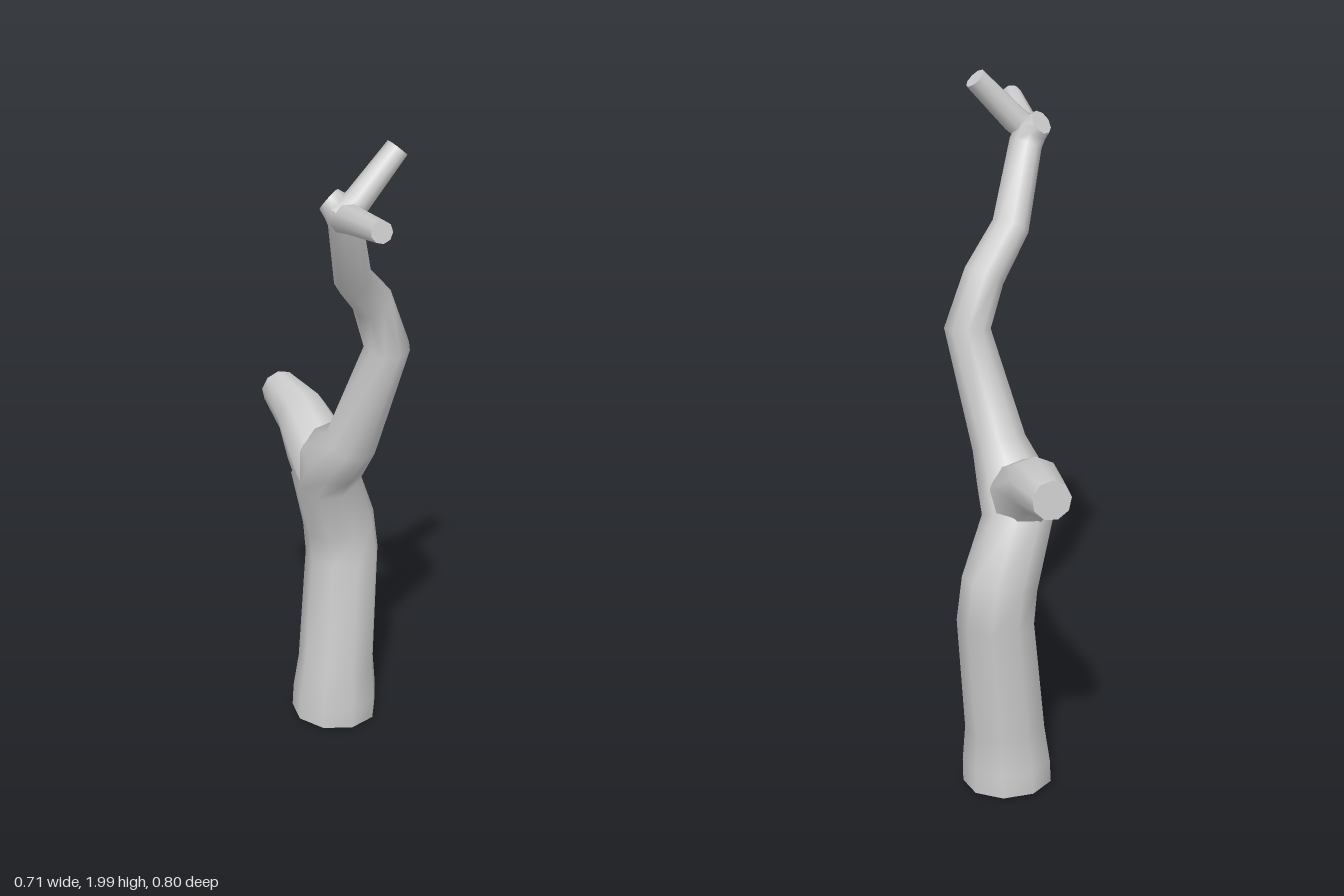
import * as THREE from 'three';

const SIDES = 9;

// Skins a limb through sections [x, y, z, radius], with flat caps at both ends
function limb(name, sections) {
  const pts = sections.map(s => new THREE.Vector3(s[0], s[1], s[2]));
  const dir = i => pts[i + 1].clone().sub(pts[i]).normalize();
  const last = pts.length - 1;
  const pos = [], index = [];
  const u = new THREE.Vector3(1, 0, 0), prev = new THREE.Vector3(0, 1, 0);
  const turn = new THREE.Quaternion();
  const rings = pts.map((p, i) => {
    // each ring lies on the bisecting plane of its bend
    const t = i === 0 ? dir(0) : i === last ? dir(last - 1) : dir(i - 1).add(dir(i)).normalize();
    u.applyQuaternion(turn.setFromUnitVectors(prev, t));
    prev.copy(t);
    const v = new THREE.Vector3().crossVectors(t, u);
    return Array.from({ length: SIDES }, (_, j) => {
      const a = j / SIDES * Math.PI * 2, r = sections[i][3] * 1.02;
      return p.clone().addScaledVector(u, Math.cos(a) * r).addScaledVector(v, Math.sin(a) * r);
    });
  });
  rings.forEach(ring => ring.forEach(p => pos.push(p.x, p.y, p.z)));
  for (let i = 0; i < last; i++) {
    for (let j = 0; j < SIDES; j++) {
      const k = (j + 1) % SIDES;
      const a = i * SIDES + j, b = i * SIDES + k;
      index.push(a, b, b + SIDES, a, b + SIDES, a + SIDES);
    }
  }
  // caps own their vertices so the cut edges stay sharp
  for (const [ring, flip] of [[rings[0], true], [rings[last], false]]) {
    const start = pos.length / 3;
    ring.forEach(p => pos.push(p.x, p.y, p.z));
    for (let j = 1; j < SIDES - 1; j++) {
      if (flip) index.push(start, start + j + 1, start + j);
      else index.push(start, start + j, start + j + 1);
    }
  }
  const geo = new THREE.BufferGeometry();
  geo.setAttribute('position', new THREE.Float32BufferAttribute(pos, 3));
  geo.setIndex(index);
  geo.computeVertexNormals();
  const mesh = new THREE.Mesh(geo, new THREE.MeshStandardMaterial({ color: 0xcccccc }));
  mesh.name = name;
  return mesh;
}

export function createModel() {
  const tree = new THREE.Group();
  tree.name = 'bareTree';

  // trunk, winding up through the fork to the short broken crown
  tree.add(limb('trunk', [
    [-0.07, 0.012, -0.217, 0.127],
    [-0.068, 0.08, -0.218, 0.126],
    [-0.064, 0.19, -0.22, 0.114],
    [-0.067, 0.54, -0.267, 0.109],
    [-0.073, 0.65, -0.255, 0.107],
    [-0.088, 0.83, -0.19, 0.099],
    [-0.04, 0.92, -0.15, 0.098],
    [0.03, 1.0, -0.113, 0.077],
    [0.143, 1.32, -0.105, 0.065],
    [0.113, 1.467, -0.066, 0.058],
    [0.112, 1.578, 0.06, 0.053],
    [0.14, 1.79, 0.175, 0.047],
    [0.13, 1.83, 0.195, 0.046],
    [0.1, 1.852, 0.196, 0.036],
  ]));

  // thick side branch leaving the fork
  tree.add(limb('sideBranch', [
    [-0.075, 0.83, -0.175, 0.09],
    [-0.115, 0.915, -0.195, 0.095],
    [-0.2, 0.977, -0.262, 0.077],
    [-0.322, 0.995, -0.362, 0.055],
  ]));

  // two twigs at the top
  tree.add(limb('upperTwig', [
    [0.14, 1.81, 0.215, 0.04],
    [0.175, 1.853, 0.175, 0.038],
    [0.247, 1.98, 0.083, 0.032],
  ]));
  tree.add(limb('frontTwig', [
    [0.135, 1.805, 0.185, 0.044],
    [0.195, 1.825, 0.245, 0.039],
    [0.333, 1.862, 0.378, 0.03],
  ]));

  return tree;
}
